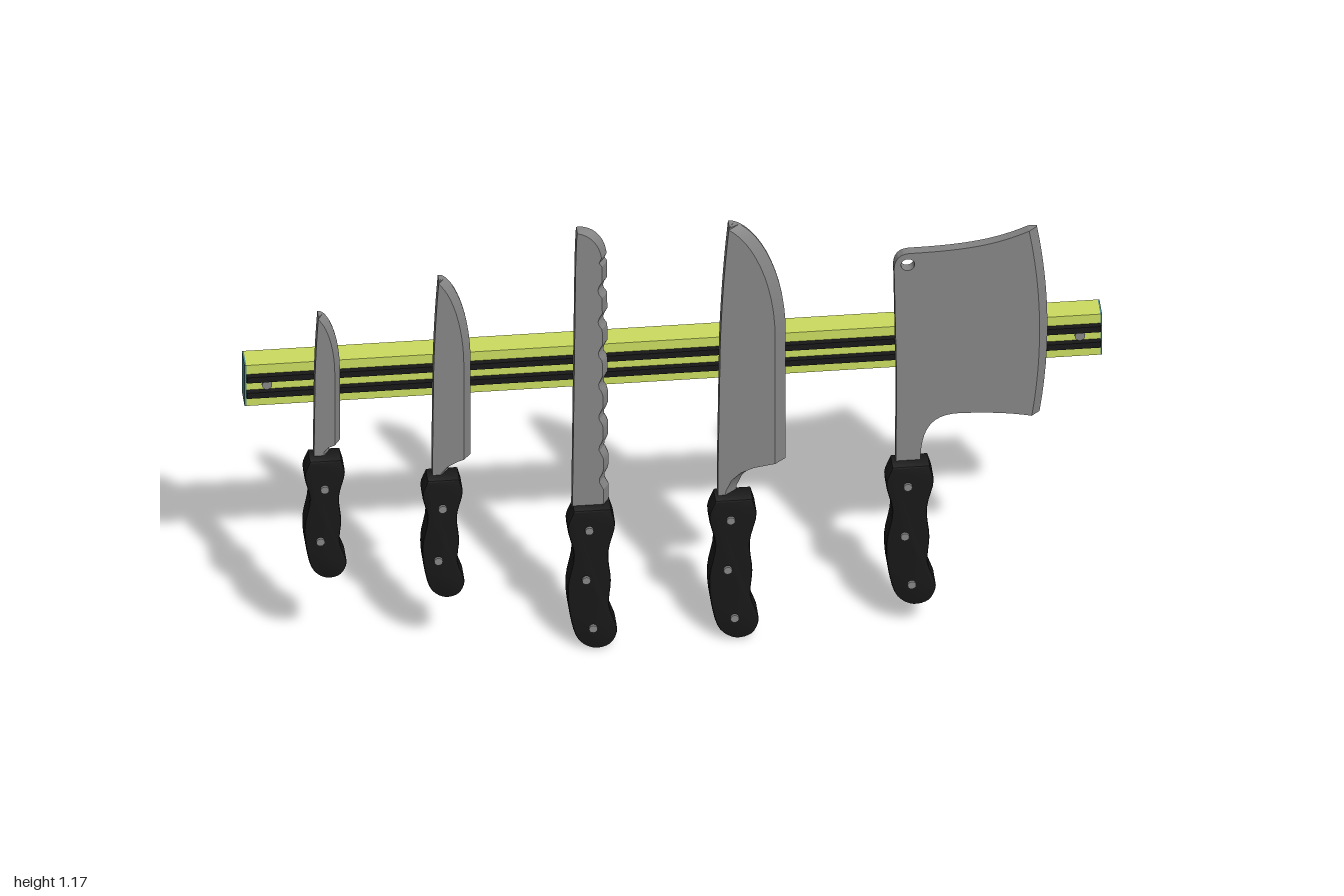
import * as THREE from 'three';
import { toCreasedNormals } from 'three/addons/utils/BufferGeometryUtils.js';

const mat = (color) => new THREE.MeshStandardMaterial({ color });
const steel = mat(0x858585), black = mat(0x181818), lime = mat(0xccdc60), teal = mat(0x4f8a88);
const BACK = 0.009, FRONT = 0.037;

function add(parent, name, geometry, material, x = 0, y = 0, z = 0) {
  const mesh = new THREE.Mesh(geometry, material);
  mesh.name = name;
  mesh.position.set(x, y, z);
  parent.add(mesh);
  return mesh;
}

// Blade lofted upwards through rows [y, spineX, edgeX], ground on its front face
function bladeGeometry(rows, bevel, front = FRONT) {
  const pos = [], n = 5;
  const rings = rows.map(([y, s, e]) => {
    const m = Math.max(s, e - bevel);
    return [[s, y, BACK], [e, y, BACK], [e, y, BACK + 0.006], [m, y, front], [s, y, front]];
  });
  const tri = (a, b, c) => pos.push(...a, ...b, ...c);
  for (let r = 0; r < rings.length - 1; r++) {
    for (let i = 0; i < n; i++) {
      const j = (i + 1) % n, lo = rings[r], hi = rings[r + 1];
      tri(lo[i], hi[i], hi[j]);
      tri(lo[i], hi[j], lo[j]);
    }
  }
  const bottom = rings[0], top = rings[rings.length - 1];
  for (let k = 1; k < n - 1; k++) {
    tri(bottom[0], bottom[k], bottom[k + 1]);
    tri(top[0], top[k + 1], top[k]);
  }
  const geo = new THREE.BufferGeometry();
  geo.setAttribute('position', new THREE.Float32BufferAttribute(pos, 3));
  geo.computeVertexNormals();
  return toCreasedNormals(geo, 0.35);
}

// Rows for a pointed knife: heel points [y, edgeX], straight edge, curved belly, tip
function pointedRows(heel, bellyY, tipY, tipX, spineLow) {
  const y0 = heel[0][0], edge = heel[heel.length - 1][1];
  const spine = (y) => {
    const t = (y - y0) / (tipY - y0);
    return spineLow + (tipX - 0.004 - spineLow) * t ** 3;
  };
  const rows = heel.map(([y, e]) => [y, spine(y), e]);
  for (let i = 0; i <= 14; i++) {
    const a = (i / 14) * Math.PI / 2;
    const y = bellyY + (tipY - bellyY) * Math.sin(a);
    rows.push([y, spine(y), tipX + (edge - tipX) * Math.max(0, Math.cos(a)) ** 1.2]);
  }
  return rows;
}

// Curved grip, origin at the middle of its top, 0.4 long before scaling
function addHandle(parent, x, y, length, rivets) {
  const k = length / 0.4;
  const left = [[-0.04, -0.005], [-0.055, -0.05], [-0.041, -0.13], [-0.055, -0.22], [-0.05, -0.3],
    [-0.028, -0.375], [0.008, -0.398], [0.045, -0.388], [0.061, -0.35], [0.042, -0.28],
    [0.046, -0.21], [0.04, -0.13], [0.056, -0.05], [0.046, -0.005]];
  const inset = 0.006;
  const pts = new THREE.CatmullRomCurve3(left.map(([a, b]) => new THREE.Vector3(a * k, b * k, 0)), false)
    .getPoints(52).map((p) => new THREE.Vector2(p.x, p.y));
  const geo = new THREE.ExtrudeGeometry(new THREE.Shape(pts), {
    depth: 0.043, bevelEnabled: true, bevelThickness: 0.006, bevelSize: inset,
    bevelOffset: -inset, bevelSegments: 2,
  });
  add(parent, 'handle', toCreasedNormals(geo, 0.6), black, x, y, 0.011);
  rivets.forEach(([dx, dy]) => {
    const pin = new THREE.CylinderGeometry(0.01, 0.01, 0.073, 16).rotateX(Math.PI / 2);
    add(parent, 'rivet', pin, steel, x + dx, y + dy, 0.03);
  });
}

const TWO = [[0, -0.083], [-0.01, -0.23]];
const THREE_PINS = [[-0.005, -0.06], [-0.012, -0.2], [0.004, -0.338]];

function knife(root, name, geometry, x, y, length, pins) {
  const g = new THREE.Group();
  g.name = name;
  add(g, 'blade', geometry, steel);
  addHandle(g, x, y, length, pins);
  root.add(g);
  return g;
}

function addRail(root) {
  const rail = new THREE.Group();
  rail.name = 'wallRail';
  add(rail, 'railBody', new THREE.BoxGeometry(1.992, 0.115, 0.059), lime, 0, 0.772, -0.0355);
  for (const side of [-1, 1]) {
    add(rail, 'endCap', new THREE.BoxGeometry(0.004, 0.115, 0.059), teal, side * 0.998, 0.772, -0.0355);
    const screw = new THREE.CylinderGeometry(0.012, 0.012, 0.008, 16).rotateX(Math.PI / 2);
    add(rail, 'screw', screw, steel, side * 0.948, 0.774, -0.004);
  }
  for (const y of [0.796, 0.752]) {
    add(rail, 'magnetStrip', new THREE.BoxGeometry(1.992, 0.016, 0.02), black, 0, y, -0.002);
  }
  root.add(rail);
}

function addCleaver(root) {
  const front = 0.033, bevel = 0.02;
  // Edge bows gently outward between its two corners
  const rows = [];
  for (let i = 0; i <= 12; i++) {
    const t = i / 12;
    const e = 0.852 - 0.006 * t + 0.085 * t * (1 - t);
    rows.push([0.58 + 0.525 * t, e - bevel, e]);
  }
  // Slanted ends keep the strip level with the curved top and bottom
  const s = new THREE.Shape();
  s.moveTo(0.515, 0.46);
  s.lineTo(0.572, 0.46);
  s.bezierCurveTo(0.572, 0.55, 0.59, 0.6, 0.66, 0.6);
  s.quadraticCurveTo(0.76, 0.598, rows[0][1], rows[0][0]);
  rows.forEach(([y, x]) => s.lineTo(x, y));
  s.bezierCurveTo(0.75, 1.072, 0.68, 1.062, 0.55, 1.062);
  s.quadraticCurveTo(0.512, 1.062, 0.511, 1.02);
  s.lineTo(0.517, 0.7);
  s.closePath();
  const hole = new THREE.Path();
  hole.absarc(0.543, 1.03, 0.016, 0, Math.PI * 2, true);
  s.holes.push(hole);
  const body = new THREE.ExtrudeGeometry(s, { depth: front - BACK, bevelEnabled: false, curveSegments: 16 });
  body.translate(0, 0, BACK);
  const g = knife(root, 'cleaver', toCreasedNormals(body, 0.5), 0.545, 0.48, 0.4, THREE_PINS);
  add(g, 'cuttingEdge', bladeGeometry(rows, bevel, front), steel);
}

export function createModel() {
  const root = new THREE.Group();
  root.name = 'knifeRack';
  addRail(root);

  const paring = pointedRows([[0.57, -0.805], [0.6, -0.805], [0.612, -0.795], [0.618, -0.78]],
    0.82, 0.983, -0.828, -0.842);
  knife(root, 'paringKnife', bladeGeometry(paring, 0.014), -0.82, 0.595, 0.34, TWO);

  const utility = pointedRows([[0.49, -0.53], [0.52, -0.528], [0.538, -0.512], [0.55, -0.49], [0.555, -0.475]],
    0.82, 1.065, -0.547, -0.566);
  knife(root, 'utilityKnife', bladeGeometry(utility, 0.018), -0.545, 0.52, 0.34, TWO);

  // Bread knife: scalloped edge and a rounded end
  const bread = [];
  for (let i = 0; i <= 64; i++) {
    const t = i / 64, y = 0.38 + 0.71 * t;
    const tooth = y > 0.45 ? Math.max(0, Math.sin((y - 0.45) * 2 * Math.PI / 0.09)) : 0;
    bread.push([y, -0.24 + 0.008 * t, -0.153 - 0.004 * t - 0.01 * tooth]);
  }
  for (let i = 1; i <= 10; i++) {
    const a = (i / 10) * Math.PI / 2;
    bread.push([1.09 + 0.088 * Math.sin(a), -0.232 + 0.004 * i / 10, -0.222 + 0.065 * Math.cos(a)]);
  }
  knife(root, 'breadKnife', bladeGeometry(bread, 0.014), -0.198, 0.41, 0.4, THREE_PINS);

  const chef = pointedRows([[0.39, 0.143], [0.42, 0.145], [0.45, 0.158], [0.47, 0.18], [0.482, 0.21], [0.49, 0.26]],
    0.85, 1.17, 0.13, 0.1);
  knife(root, 'chefKnife', bladeGeometry(chef, 0.027), 0.132, 0.415, 0.4, THREE_PINS);

  addCleaver(root);
  return root;
}
